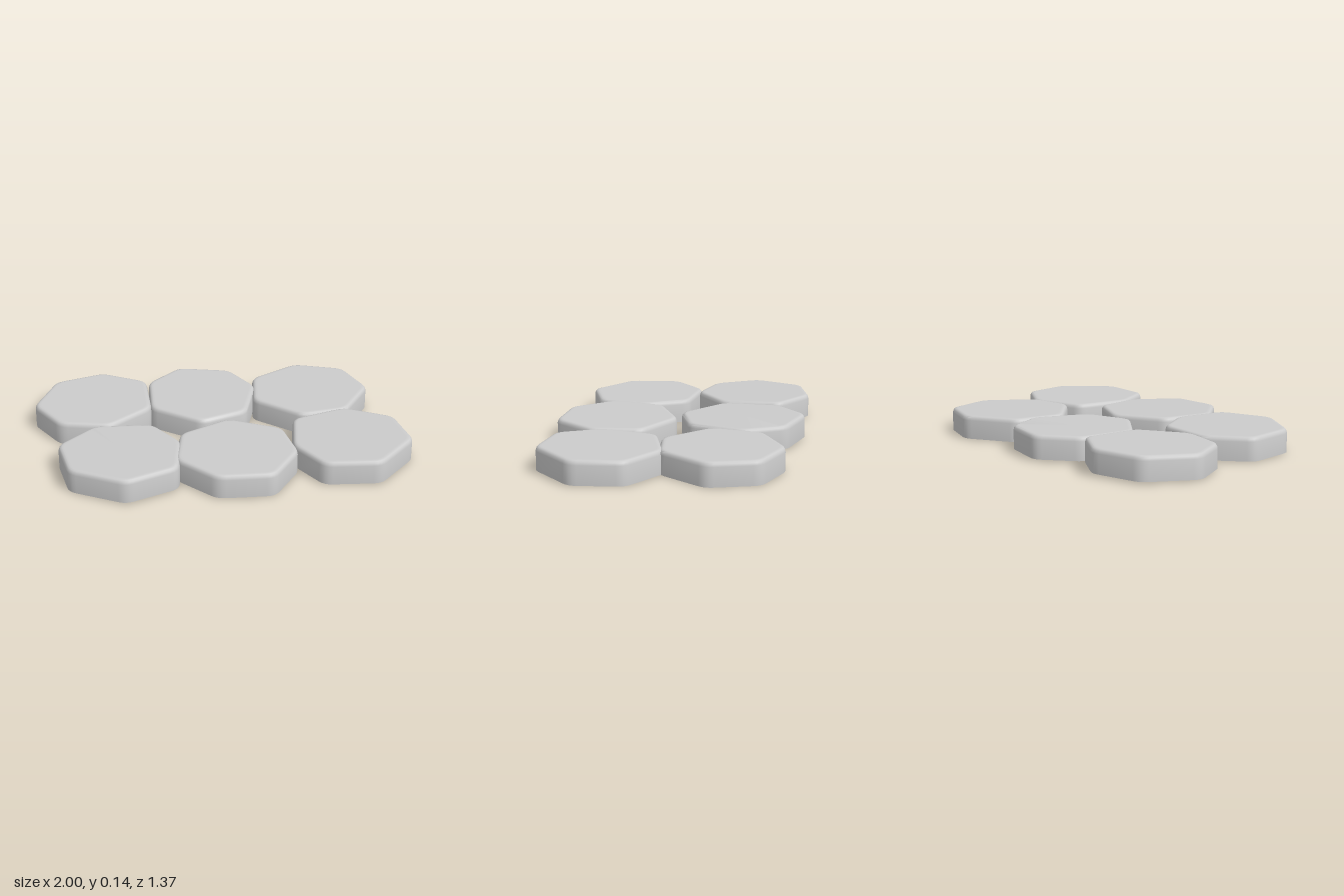
import * as THREE from 'three';
import { toCreasedNormals } from 'three/addons/utils/BufferGeometryUtils.js';

// Each stone: seven corners [x, z] clockwise from above, lift off the ground, slope along x and z
const STONES = [
  { name: 'backLeftStone', lift: 0.009, slope: [0.012, -0.012], corners: [
    [-0.57, -0.695], [-0.33, -0.535], [-0.35, -0.19], [-0.61, -0.02], [-0.885, -0.1], [-1.01, -0.355], [-0.86, -0.635]] },
  { name: 'backMiddleStone', lift: 0.005, slope: [0, -0.01], corners: [
    [-0.11, -0.695], [0.185, -0.605], [0.295, -0.365], [0.175, -0.055], [-0.095, 0.02], [-0.355, -0.2], [-0.32, -0.53]] },
  { name: 'backRightStone', lift: 0.002, slope: [-0.005, 0], corners: [
    [0.595, -0.625], [0.87, -0.515], [0.945, -0.235], [0.745, 0.025], [0.48, 0.05], [0.24, -0.19], [0.3, -0.48]] },
  { name: 'frontLeftStone', lift: 0.005, slope: [0.008, 0.004], corners: [
    [-0.7, -0.04], [-0.375, 0.005], [-0.25, 0.24], [-0.315, 0.53], [-0.61, 0.625], [-0.89, 0.44], [-0.92, 0.14]] },
  { name: 'frontMiddleStone', lift: 0.004, slope: [-0.011, 0], corners: [
    [0.05, 0.015], [0.33, 0.175], [0.355, 0.455], [0.17, 0.69], [-0.135, 0.665], [-0.32, 0.435], [-0.245, 0.145]] },
  { name: 'frontRightStone', lift: 0.003, slope: [0, 0.006], corners: [
    [0.73, 0], [0.98, 0.16], [1.005, 0.445], [0.755, 0.675], [0.45, 0.63], [0.335, 0.39], [0.41, 0.08]] },
];

// Side profile: [scale of the outline, height], from bottom centre to top centre
const PROFILE = [[0, 0], [1, 0], [1, 0.105], [0.987, 0.119], [0.966, 0.127], [0.935, 0.13], [0.9, 0.13], [0, 0.13]];
const CORNER_CUT = 0.045;
const CORNER_STEPS = 4;

// Polygon outline with each corner rounded by a small curve
function roundedOutline(corners) {
  const pts = corners.map(([x, z]) => new THREE.Vector2(x, z));
  const n = pts.length;
  return pts.flatMap((p, i) => {
    const towards = (q) => q.clone().sub(p).setLength(CORNER_CUT).add(p);
    const curve = new THREE.QuadraticBezierCurve(towards(pts[(i + n - 1) % n]), p, towards(pts[(i + 1) % n]));
    return curve.getPoints(CORNER_STEPS);
  });
}

// Slab with flat bottom, upright wall and soft top edge
function stoneGeometry({ corners, lift, slope }) {
  const outline = roundedOutline(corners);
  const n = outline.length;
  const centre = outline.reduce((s, p) => s.add(p), new THREE.Vector2()).divideScalar(n);
  const positions = [];
  const indices = [];
  PROFILE.forEach(([scale, y], r) => {
    outline.forEach((p, i) => {
      const dx = (p.x - centre.x) * scale;
      const dz = (p.y - centre.y) * scale;
      positions.push(centre.x + dx, y + lift + slope[0] * dx + slope[1] * dz, centre.y + dz);
      if (r === 0) return;
      const j = (i + 1) % n;
      const a = (r - 1) * n + i, b = (r - 1) * n + j, c = r * n + j, d = r * n + i;
      if (PROFILE[r - 1][0] > 0) indices.push(b, a, d);
      if (scale > 0) indices.push(b, d, c);
    });
  });
  const geometry = new THREE.BufferGeometry();
  geometry.setAttribute('position', new THREE.Float32BufferAttribute(positions, 3));
  geometry.setIndex(indices);
  return toCreasedNormals(geometry, 0.7);
}

export function createModel() {
  const group = new THREE.Group();
  group.name = 'steppingStones';
  const material = new THREE.MeshStandardMaterial({ color: 0xcccccc });
  for (const stone of STONES) {
    const mesh = new THREE.Mesh(stoneGeometry(stone), material);
    mesh.name = stone.name;
    group.add(mesh);
  }
  return group;
}
